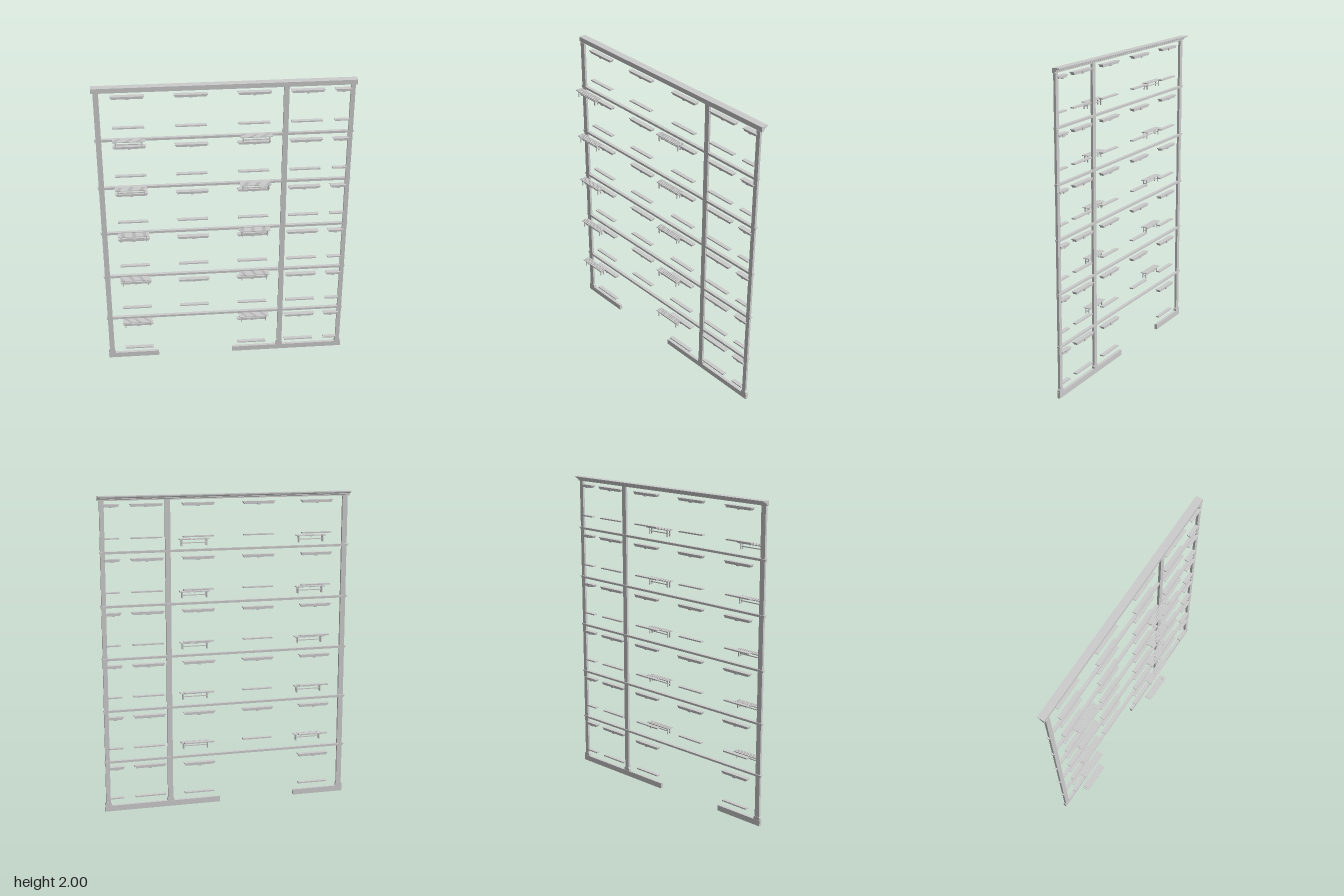
import * as THREE from 'three';

const mat = new THREE.MeshStandardMaterial({ color: 0xcccccc, flatShading: true, side: THREE.DoubleSide });

// Box given by its minimum and maximum corners
function box(parent, name, x0, x1, y0, y1, z0, z1) {
  const m = new THREE.Mesh(new THREE.BoxGeometry(x1 - x0, y1 - y0, z1 - z0), mat);
  m.position.set((x0 + x1) / 2, (y0 + y1) / 2, (z0 + z1) / 2);
  m.name = name;
  parent.add(m);
  return m;
}

// Extruded outline running from z0 to z1
function plate(parent, name, points, z0, z1) {
  const shape = new THREE.Shape(points.map(([x, y]) => new THREE.Vector2(x, y)));
  const g = new THREE.ExtrudeGeometry(shape, { depth: z1 - z0, bevelEnabled: false });
  g.translate(0, 0, z0);
  const m = new THREE.Mesh(g, mat);
  m.name = name;
  parent.add(m);
  return m;
}

// Stepped cornice: profile in (z, y), extruded along x
function cornice(parent) {
  const profile = [
    [-0.045, 1.97], [-0.06, 1.97], [-0.06, 1.977], [-0.068, 1.98], [-0.068, 1.985],
    [-0.078, 1.988], [-0.08, 1.993], [-0.091, 1.994], [-0.091, 2], [-0.045, 2],
  ];
  const m = plate(parent, 'cornice', profile.map(([z, y]) => [-z, y]), -0.802, 0.802);
  m.rotation.y = Math.PI / 2;
}

// Window head: cap, tapered body and small keystone
function windowHead(x, w, y) {
  const g = new THREE.Group();
  g.name = 'windowHead';
  const h = w / 2;
  box(g, 'headCap', -h, h, 0.005, 0.01, -0.064, -0.032);
  plate(g, 'headBody', [[-h + 0.009, -0.007], [h - 0.009, -0.007], [h - 0.003, 0.005], [-h + 0.003, 0.005]], -0.062, -0.036);
  plate(g, 'keystone', [[-0.009, -0.011], [0.009, -0.011], [0.012, 0.005], [-0.012, 0.005]], -0.064, -0.035);
  g.position.set(x, y, 0);
  return g;
}

// Slatted stand with four legs and a stretcher; y is its top
function slattedStand(x, y) {
  const g = new THREE.Group();
  g.name = 'slattedStand';
  const z0 = 0.044;
  for (let i = 0; i < 4; i++) {
    const z = z0 + i * 0.012;
    box(g, 'slat', -0.097, 0.097, -0.005, 0, z, z + 0.01);
  }
  for (const s of [-1, 1]) {
    const lx = s * 0.08;
    for (const z of [0.058, 0.08]) box(g, 'leg', lx - 0.003, lx + 0.003, -0.046, -0.005, z - 0.003, z + 0.003);
    box(g, 'crossBar', lx - 0.003, lx + 0.003, -0.009, -0.005, 0.048, 0.086);
    box(g, 'sideBrace', lx - 0.002, lx + 0.002, -0.029, -0.025, 0.058, 0.08);
  }
  box(g, 'crossBar', -0.003, 0.003, -0.009, -0.005, 0.048, 0.086);
  box(g, 'stretcher', -0.08, 0.08, -0.03, -0.024, 0.066, 0.072);
  g.position.set(x, y, 0);
  return g;
}

export function createModel() {
  const root = new THREE.Group();
  root.name = 'facadeTrim';
  const step = 0.3325;

  cornice(root);

  // Plinths either side of the doorway gap
  box(root, 'plinth', -0.797, -0.455, 0, 0.036, -0.061, -0.042);
  box(root, 'plinth', 0.047, 0.799, 0, 0.036, -0.061, -0.042);

  // Pilasters with wider feet
  for (const [x, w] of [[-0.773, 0.033], [0.372, 0.033], [0.776, 0.028]]) {
    box(root, 'pilaster', x - w / 2, x + w / 2, 0.036, 1.97, -0.058, -0.043);
    const a = w / 2, b = a + 0.006;
    const foot = plate(root, 'pilasterFoot', [[-b, 0.036], [b, 0.036], [b, 0.05], [a, 0.058], [-a, 0.058], [-b, 0.05]], -0.06, -0.042);
    foot.position.x = x;
  }

  // Floor bands, each with a thin upper lip
  for (let i = 0; i < 5; i++) {
    const y = 0.325 + i * step;
    box(root, 'floorBand', -0.796, 0.793, y - 0.007, y + 0.002, -0.059, -0.043);
    box(root, 'bandLip', -0.799, 0.796, y + 0.002, y + 0.008, -0.064, -0.043);
    for (const x of [-0.589, 0.179]) root.add(slattedStand(x, y + 0.057));
  }

  // Window heads and sills; the doorway replaces one ground-floor window
  const columns = [[-0.588, 0.205], [-0.207, 0.205], [0.179, 0.205], [0.502, 0.205], [0.719, 0.102]];
  for (let row = 0; row < 6; row++) {
    columns.forEach(([x, w], c) => {
      if (row === 0 && c === 1) return;
      const lift = row === 0 && c > 2 ? 0.01 : 0;
      root.add(windowHead(x, w, 0.276 + row * step + (row === 0 ? -0.006 : 0) + lift));
      const s = w / 2 - 0.006, y = 0.078 + row * step + lift / 3;
      box(root, 'windowSill', x - s, x + s, y - 0.004, y + 0.004, -0.059, -0.033);
    });
  }
  return root;
}
